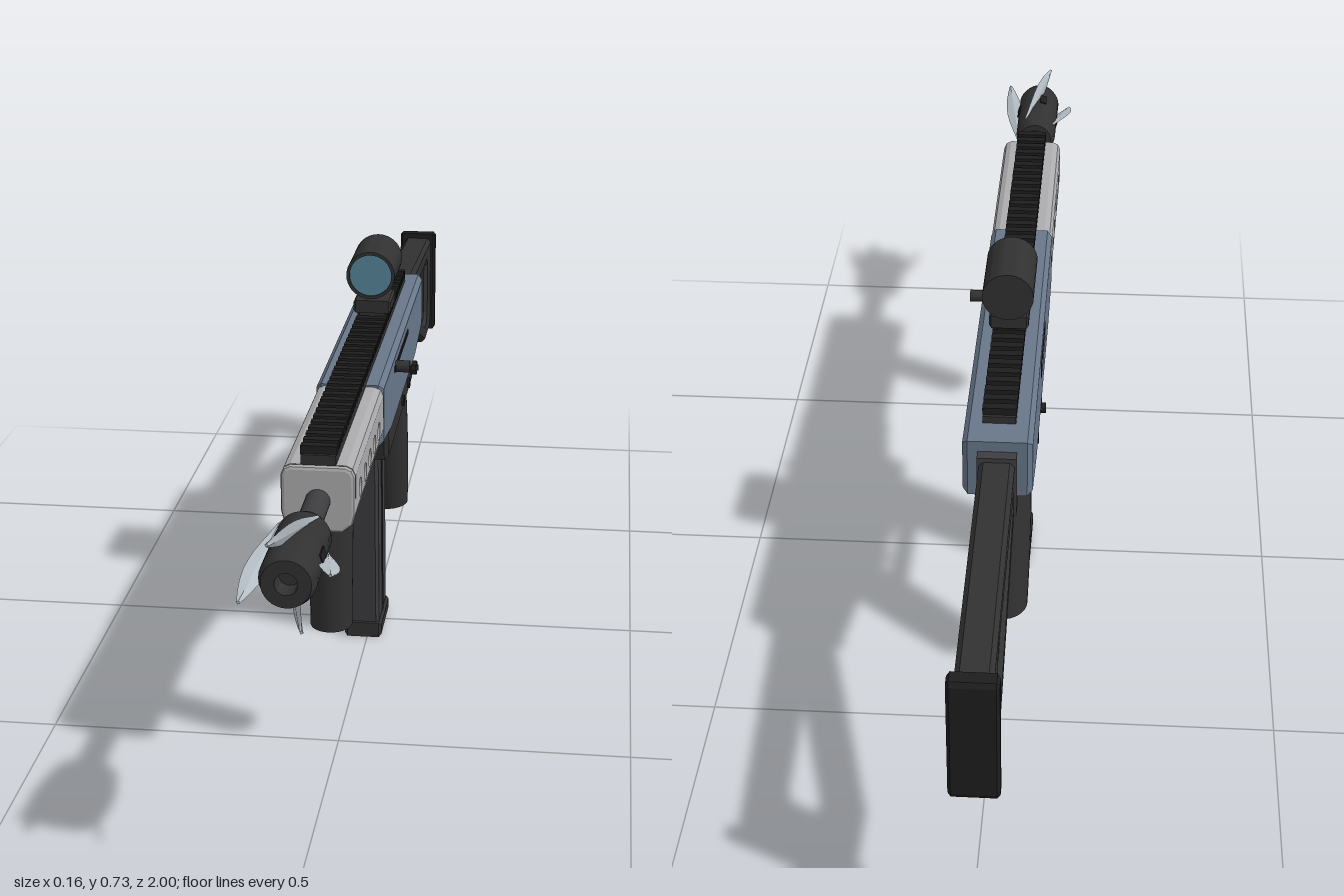
import * as THREE from 'three';
import { toCreasedNormals } from 'three/addons/utils/BufferGeometryUtils.js';

const mat = (color, extra = {}) => new THREE.MeshStandardMaterial({ color, ...extra });

export function createModel() {
  const model = new THREE.Group();
  const body = new THREE.Group();
  body.name = 'body';
  body.position.x = -0.008;
  model.add(body);

  const blue = mat(0x68778a), silver = mat(0xacacae), dark = mat(0x313131);
  const black = mat(0x1e1e1f), charcoal = mat(0x3d3d40), glass = mat(0x568499);
  const steel = mat(0xb4bdc4, { flatShading: true, side: THREE.DoubleSide });

  const add = (name, geo, material, x = 0, y = 0, z = 0, parent = body) => {
    const m = new THREE.Mesh(geo, material);
    m.name = name;
    m.position.set(x, y, z);
    parent.add(m);
    return m;
  };
  const box = (name, w, h, d, material, x, y, z, parent) =>
    add(name, new THREE.BoxGeometry(w, h, d), material, x, y, z, parent);
  const poly = pts => pts.map(p => new THREE.Vector2(p[0], p[1]));

  // Side profile given as [z, y], extruded across x with a chamfer.
  // Outlines with holes run clockwise and their holes counter-clockwise.
  const side = (pts, width, bevel, holes = []) => {
    const s = new THREE.Shape(poly(pts));
    holes.forEach(h => s.holes.push(h));
    const g = new THREE.ExtrudeGeometry(s, {
      depth: width - 2 * bevel, bevelEnabled: bevel > 0, bevelThickness: bevel,
      bevelSize: bevel, bevelOffset: -bevel, bevelSegments: 1, curveSegments: 10,
    });
    return g.translate(0, 0, bevel - width / 2).rotateY(-Math.PI / 2);
  };
  // Profile of [radius, height] turned about its axis, from bottom to top
  const turned = (pts, seg = 32) => new THREE.LatheGeometry(poly(pts), seg);
  // Cylinder lying along x
  const xCyl = (r, len, seg = 16) => new THREE.CylinderGeometry(r, r, len, seg).rotateZ(Math.PI / 2);

  // Receiver
  add('receiver', side([[0.27, 0.57], [0.27, 0.458], [0.13, 0.437], [-0.31, 0.437],
    [-0.455, 0.462], [-0.455, 0.57]], 0.118, 0.009), blue);
  box('handleSlot', 0.004, 0.01, 0.24, black, 0.0585, 0.54, -0.03);
  add('chargingHandle', xCyl(0.011, 0.03), dark, 0.07, 0.54, 0.065);
  box('ejectionPort', 0.003, 0.034, 0.14, black, -0.0585, 0.53, -0.1);
  box('bolt', 0.003, 0.016, 0.09, silver, -0.0595, 0.525, -0.085);

  // Handguard: stepped core, pierced side plates in the recesses, chamfered nose
  const mirrored = half => new THREE.Shape(poly([...half, ...half.map(([x, y]) => [-x, y]).reverse()].reverse()));
  const upper = [[0.044, 0.567], [0.054, 0.562], [0.059, 0.551]];
  const lower = [[0.059, 0.49], [0.054, 0.47], [0.038, 0.457]];
  const core = mirrored([...upper, [0.044, 0.551], [0.044, 0.49], ...lower]);
  add('handguard', new THREE.ExtrudeGeometry(core, { depth: 0.386, bevelEnabled: false }), silver, 0, 0, 0.268);
  add('handguardNose', new THREE.ExtrudeGeometry(mirrored([...upper, ...lower]), {
    depth: 0.002, bevelThickness: 0.006, bevelSize: 0.006, bevelOffset: -0.006, bevelSegments: 2,
  }), silver, 0, 0, 0.657);
  const ventHoles = () => [0, 1, 2, 3, 4].map(i =>
    new THREE.Path().absarc(0.595 - i * 0.065, 0.51, 0.016, 0, Math.PI * 2, false));
  const plate = [[0.654, 0.551], [0.654, 0.49], [0.268, 0.49], [0.268, 0.551]];
  for (const s of [-1, 1]) add('ventedPlate', side(plate, 0.016, 0, ventHoles()), silver, s * 0.051);

  // Top rail
  box('railBase', 0.056, 0.02, 1.055, dark, 0, 0.573, 0.1275);
  const teeth = 38, pitch = 1.055 / teeth;
  for (let i = 0; i < teeth; i++) {
    box('railTooth', 0.058, 0.014, pitch * 0.58, black, 0, 0.589, 0.655 - pitch * (i + 0.5));
  }

  // Sight
  const sight = new THREE.Group();
  sight.name = 'sight';
  body.add(sight);
  box('sightNeck', 0.048, 0.022, 0.07, dark, 0, 0.595, -0.105, sight);
  add('sightClamp', side([[-0.062, 0.625], [-0.062, 0.601], [-0.147, 0.601], [-0.147, 0.625]], 0.07, 0.004),
    dark, 0, 0, 0, sight);
  const tube = turned([[0, -0.174], [0.045, -0.174], [0.045, -0.038], [0.039, -0.038], [0.039, -0.045], [0, -0.045]], 36);
  add('sightTube', toCreasedNormals(tube.rotateX(Math.PI / 2), 0.6), dark, 0, 0.68, 0, sight);
  add('sightLens', new THREE.CircleGeometry(0.039, 36), glass, 0, 0.68, -0.041, sight);

  // Barrel and muzzle device
  add('barrel', new THREE.CylinderGeometry(0.02, 0.02, 0.16, 28).rotateX(Math.PI / 2), charcoal, 0, 0.51, 0.72);
  const muzzle = new THREE.Group();
  muzzle.name = 'muzzle';
  muzzle.position.y = 0.51;
  body.add(muzzle);
  const muzzleBody = turned([[0, 0.787], [0.033, 0.787], [0.042, 0.81], [0.043, 0.965],
    [0.037, 0.984], [0.017, 0.984], [0.016, 0.95], [0, 0.95]]);
  add('muzzleBody', toCreasedNormals(muzzleBody.rotateX(Math.PI / 2), 0.5), dark, 0, 0, 0, muzzle);

  // One leaf blade standing on edge, sweeping sideways and outward to the tip
  const blade = new THREE.CylinderGeometry(1, 1, 1, 4, 8);
  const p = blade.attributes.position;
  for (let i = 0; i < p.count; i++) {
    const t = p.getY(i) + 0.5;
    const w = p.getX(i) * (0.003 + 0.014 * Math.sin(Math.PI * Math.pow(t, 1.2)));
    const n = p.getZ(i) * 0.003;
    p.setXYZ(i, 0.022 - 0.046 * t + 0.25 * w + 0.97 * n,
      0.036 + 0.03 * t + 0.97 * w - 0.25 * n, 0.815 + 0.185 * t);
  }
  blade.computeVertexNormals();
  for (let i = 0; i < 4; i++) {
    const arm = new THREE.Group();
    arm.name = 'bladeArm';
    arm.rotation.z = i * Math.PI / 2;
    muzzle.add(arm);
    add('blade', blade, steel, 0, 0, 0, arm);
    box('muzzleSlot', 0.014, 0.003, 0.035, black, -0.012, 0.041, 0.9, arm).rotation.z = 0.28;
  }

  // Front grip
  add('frontGripCollar', new THREE.CylinderGeometry(0.045, 0.043, 0.02, 28), dark, 0, 0.45, 0.52);
  add('frontGrip', new THREE.CylinderGeometry(0.041, 0.038, 0.213, 28).scale(0.92, 1, 1), dark, 0, 0.3385, 0.518);

  // Lower receiver with pins and controls
  add('lowerReceiver', side([[0.147, 0.442], [0.135, 0.382], [-0.295, 0.392], [-0.322, 0.408], [-0.322, 0.442]],
    0.108, 0.008), dark);
  for (const z of [-0.105, -0.215]) add('pin', xCyl(0.011, 0.116), black, 0, 0.415, z);
  add('magazineRelease', xCyl(0.01, 0.014), black, -0.059, 0.41, -0.11);
  add('selectorPivot', xCyl(0.014, 0.014), black, 0.059, 0.428, -0.27);
  box('selectorLever', 0.008, 0.012, 0.06, black, 0.064, 0.433, -0.255).rotation.x = -0.3;

  // Magazine
  add('magazine', side([[0.102, 0.4], [0.078, 0.025], [-0.045, 0.025], [-0.02, 0.4]], 0.06, 0.006), charcoal);
  add('magazineRib', side([[0.048, 0.38], [0.026, 0.03], [0.014, 0.03], [0.036, 0.38]], 0.063, 0), dark);
  add('magazineBase', side([[0.085, 0.029], [0.085, 0], [-0.052, 0], [-0.052, 0.025], [-0.042, 0.029]], 0.07, 0.005), dark);

  // Raked oval pistol grip, slightly swollen in the middle
  const grip = turned([[0, -0.142], [0.046, -0.142], [0.049, -0.05], [0.05, 0.04], [0.049, 0.14], [0, 0.14]])
    .scale(0.97, 1, 1.1).applyMatrix4(new THREE.Matrix4().makeShear(0, 0, 0, 0.275, 0, 0));
  add('pistolGrip', toCreasedNormals(grip, 0.6), dark, 0, 0.263, -0.279);

  // Trigger and guard
  add('triggerGuard', side([[-0.047, 0.39], [-0.047, 0.28], [-0.235, 0.28], [-0.235, 0.29],
    [-0.057, 0.29], [-0.057, 0.39]], 0.03, 0), dark);
  const triggerPath = new THREE.CatmullRomCurve3([[0.395, -0.175], [0.36, -0.178], [0.33, -0.172], [0.308, -0.155]]
    .map(([y, z]) => new THREE.Vector3(0, y, z)));
  add('trigger', new THREE.TubeGeometry(triggerPath, 12, 0.007, 8), charcoal);

  // Skeleton stock
  const opening = new THREE.Path(poly([[-0.505, 0.492], [-0.875, 0.48], [-0.89, 0.468], [-0.89, 0.36],
    [-0.875, 0.345], [-0.84, 0.345], [-0.505, 0.478]]));
  add('stock', side([[-0.465, 0.543], [-0.465, 0.436], [-0.485, 0.44], [-0.85, 0.3], [-0.976, 0.3],
    [-0.976, 0.512]], 0.06, 0.008, [opening]), dark);
  box('stockMount', 0.066, 0.115, 0.03, charcoal, 0, 0.493, -0.46);
  add('buttPad', side([[-0.972, 0.523], [-0.972, 0.295], [-0.995, 0.295], [-1, 0.305], [-1, 0.515],
    [-0.995, 0.523]], 0.08, 0.005), black);

  return model;
}
